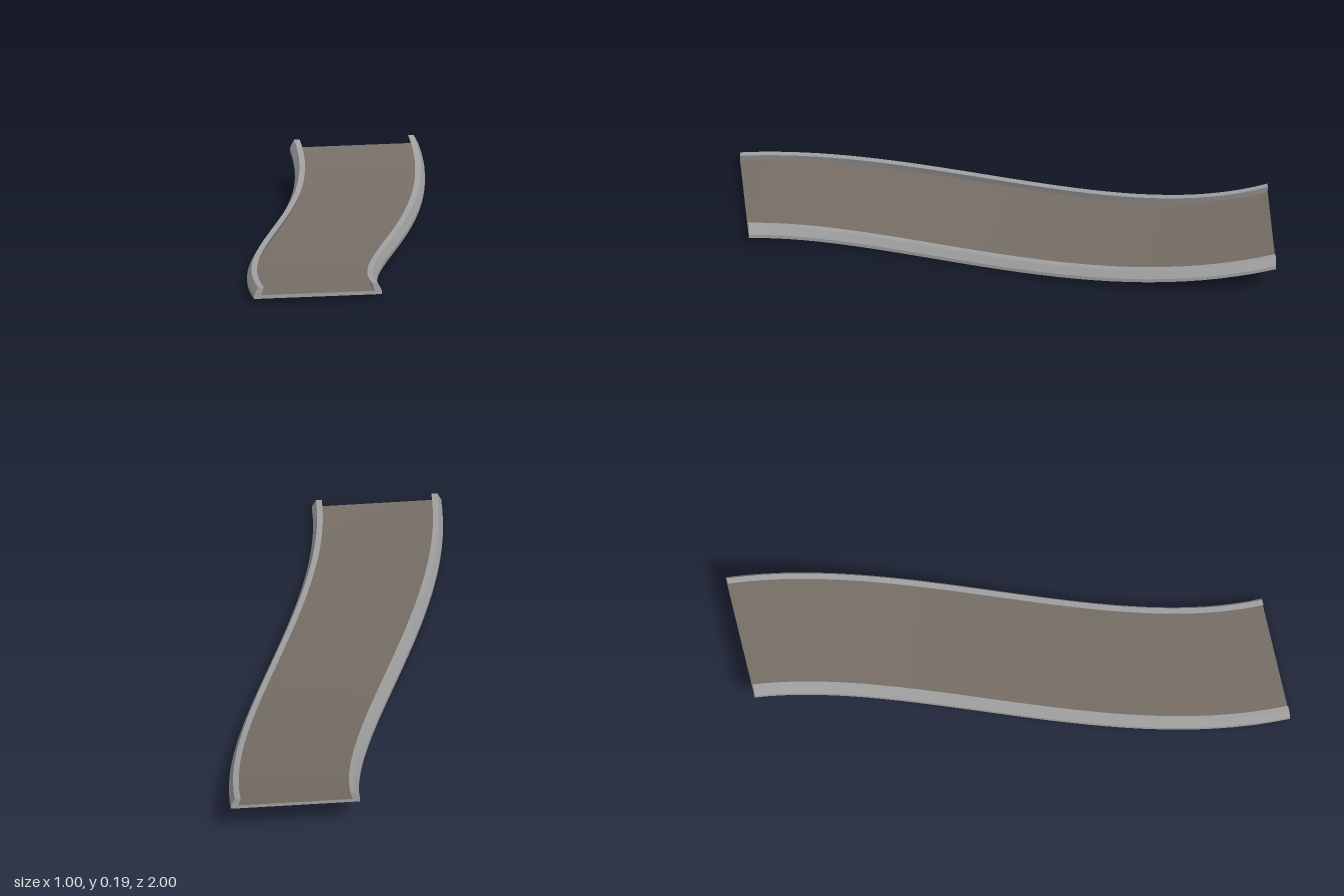
import * as THREE from 'three';

const SEGMENTS = 32;

// Half of the channel section: outer foot, outer wall, leaning lip, deck corner
const half = [[0.25, 0], [0.25, 0.015], [0.234, 0.045], [0.212, 0.045], [0.222, 0.014]];
const section = [
  ...half.map(([u, v]) => [-u, v]),
  ...half.slice().reverse(),
];

const bezier = (t, a, b, c, d) => {
  const s = 1 - t;
  return s * s * s * a + 3 * s * s * t * b + 3 * s * t * t * c + t * t * t * d;
};

// Places a section point along the S-curve, rising to the back and banked midway
function place(t, u, v) {
  const slope = 1.5 * t * (1 - t); // sideways run per unit of length
  const heading = Math.atan(slope);
  const x = -0.25 + 0.5 * t * t * (3 - 2 * t);
  const y = bezier(t, 0.018, 0.0115, -0.0225, 0.143);
  const bank = 0.048 * Math.sin(Math.PI * t);
  const across = u + v * bank;
  return [
    x + across * Math.cos(heading),
    y + v - u * bank,
    1 - 2 * t + across * Math.sin(heading),
  ];
}

// Sweeps one edge of the section; each strip is smooth lengthwise
function strip(a, b) {
  const pos = [], index = [];
  for (let i = 0; i <= SEGMENTS; i++) {
    const t = i / SEGMENTS;
    pos.push(...place(t, ...a), ...place(t, ...b));
    if (i < SEGMENTS) {
      const k = i * 2;
      index.push(k, k + 1, k + 3, k, k + 3, k + 2);
    }
  }
  const geo = new THREE.BufferGeometry();
  geo.setAttribute('position', new THREE.Float32BufferAttribute(pos, 3));
  geo.setIndex(index);
  geo.computeVertexNormals();
  return geo;
}

export function createModel() {
  const group = new THREE.Group();
  group.name = 'curvedRamp';
  const railGrey = new THREE.MeshStandardMaterial({ color: 0xa0a0a0 });
  railGrey.name = 'railGrey';
  const deckBrown = new THREE.MeshStandardMaterial({ color: 0x766e66 });
  deckBrown.name = 'deckBrown';

  const add = (parent, name, geo, mat) => {
    const mesh = new THREE.Mesh(geo, mat);
    mesh.name = name;
    parent.add(mesh);
    return mesh;
  };

  // Rails, deck surface and underside
  const rails = { rightRail: new THREE.Group(), leftRail: new THREE.Group() };
  for (const [name, rail] of Object.entries(rails)) {
    rail.name = name;
    group.add(rail);
  }
  const faces = ['OuterFoot', 'OuterSlope', 'Top', 'InnerWall'];
  for (let i = 0; i < 4; i++) {
    add(rails.rightRail, 'rightRail' + faces[i], strip(section[i], section[i + 1]), railGrey);
    add(rails.leftRail, 'leftRail' + faces[3 - i], strip(section[i + 5], section[i + 6]), railGrey);
  }
  add(group, 'deck', strip(section[4], section[5]), deckBrown);
  add(group, 'underside', strip(section[9], section[0]), railGrey);

  // End faces
  const outline = new THREE.Shape(section.map(([u, v]) => new THREE.Vector2(u, v)));
  const front = add(group, 'frontEnd', new THREE.ShapeGeometry(outline), railGrey);
  front.position.set(...place(0, 0, 0));
  const back = add(group, 'backEnd', new THREE.ShapeGeometry(outline), railGrey);
  back.position.set(...place(1, 0, 0));
  back.rotation.y = Math.PI;

  return group;
}
